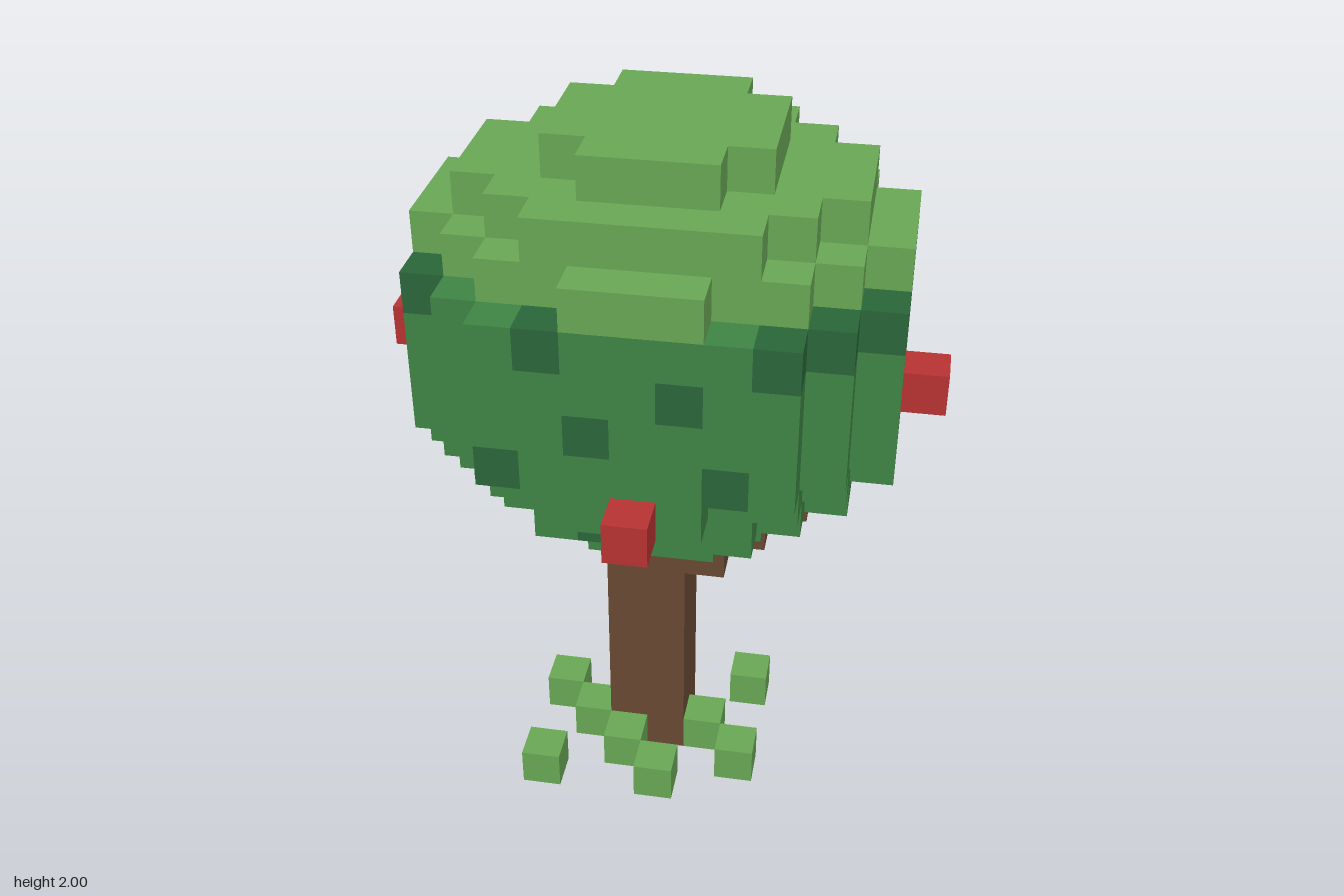
import * as THREE from 'three';
import { mergeGeometries } from 'three/addons/utils/BufferGeometryUtils.js';

const V = 1 / 9; // cube size

const mat = (name, color) => {
  const m = new THREE.MeshStandardMaterial({ color });
  m.name = name;
  return m;
};

// Turns of a +z face towards each of the six directions
const SIDES = [
  [[0, 0, 1], 0, 0], [[0, 0, -1], 0, Math.PI],
  [[1, 0, 0], 0, Math.PI / 2], [[-1, 0, 0], 0, -Math.PI / 2],
  [[0, 1, 0], -Math.PI / 2, 0], [[0, -1, 0], Math.PI / 2, 0],
].map(([dir, rx, ry]) => ({
  dir,
  face: new THREE.PlaneGeometry(V, V).translate(0, 0, V / 2).rotateX(rx).rotateY(ry),
}));

export function createModel() {
  const tree = new THREE.Group();
  tree.name = 'appleTree';

  // Each part is a list of [x, y, z] grid cells; a cell fills one cube
  const parts = {
    leafCrown: { material: mat('light green', 0x6aaa57), cells: [] },
    leaves: { material: mat('mid green', 0x408646), cells: [] },
    leafPatches: { material: mat('dark green', 0x2b683b), cells: [] },
    trunk: { material: mat('bark brown', 0x6b4a34), cells: [] },
    apples: { material: mat('apple red', 0xbb3434), cells: [] },
  };
  parts.branch = {
    material: parts.trunk.material,
    cells: [[1, 6, 0], [2, 7, 0], [3, 8, 0]],
  };
  parts.grass = {
    material: parts.leafCrown.material,
    cells: [[0, 2], [-3, 2], [2, -2], [2, 1], [1, 0], [-1, 1], [-3, -1], [-2, 0], [-1, -2]]
      .map(([x, z]) => [x, 0, z]),
  };
  parts.apples.cells = [[0, 10, 5], [6, 12, 1], [-6, 12, 0], [-2, 13, -5]];

  // Trunk, two cubes square
  for (let y = 0; y < 8; y++)
    for (const x of [-1, 0]) for (const z of [-1, 0]) parts.trunk.cells.push([x, y, z]);

  // Foliage: half widths in x for each |z|, listed from the end layers to the middle
  const layers = [[2, 2, 1], [4, 4, 3, 2], [5, 5, 4, 3, 1], [5, 5, 5, 4, 3]];
  for (let y = 8; y <= 17; y++) {
    const rows = layers[Math.min(y - 8, 17 - y, 3)];
    for (let z = 1 - rows.length; z < rows.length; z++) {
      const half = rows[Math.abs(z)];
      for (let x = -half; x <= half; x++) {
        const patch = (x + z + 3 * y + 1) % 5 === 0;
        const part = y >= 15 ? 'leafCrown' : patch ? 'leafPatches' : 'leaves';
        parts[part].cells.push([x, y, z]);
      }
    }
  }

  // Keep only the cube faces that are not covered by a neighbour
  const filled = new Set();
  for (const { cells } of Object.values(parts)) cells.forEach((c) => filled.add(c.join()));
  for (const [name, { material, cells }] of Object.entries(parts)) {
    const faces = [];
    for (const [x, y, z] of cells)
      for (const { dir, face } of SIDES)
        if (!filled.has([x + dir[0], y + dir[1], z + dir[2]].join()))
          faces.push(face.clone().translate(x * V, (y + 0.5) * V, z * V));
    const mesh = new THREE.Mesh(mergeGeometries(faces), material);
    mesh.name = name;
    tree.add(mesh);
  }
  return tree;
}
